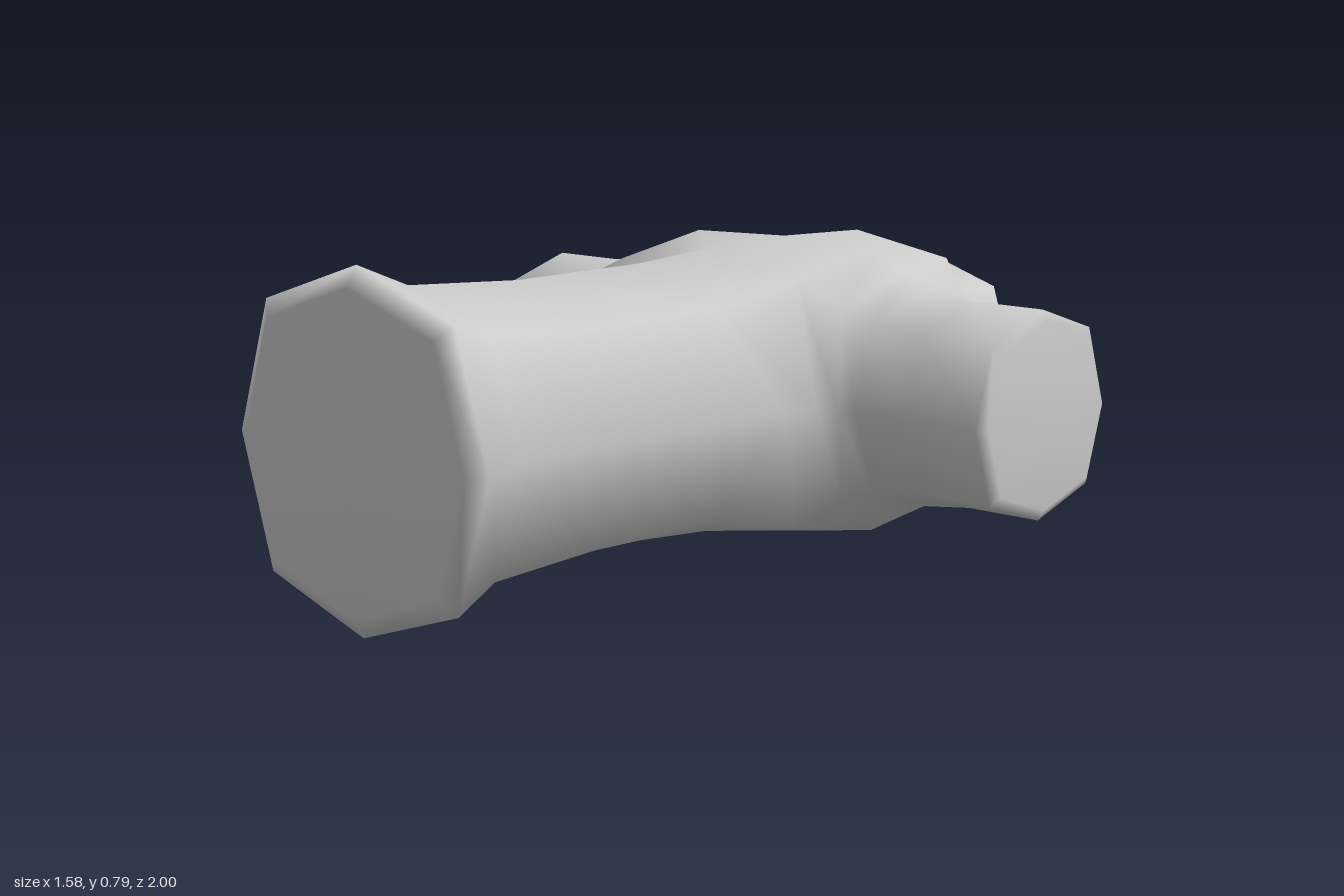
import * as THREE from 'three';
import { mergeVertices } from 'three/addons/utils/BufferGeometryUtils.js';

const MID_Y = 0.4, HUB_Z = -0.375;
const DIAG = 0.755; // diagonal corner offset relative to the radius

// Hub lattice point: i, j, k are -1, 0 or 1 along x, y, z
function hubPoint(i, j, k) {
  if (j === 0) return new THREE.Vector3(i * 0.365, MID_Y, HUB_Z + k * 0.3);
  const rise = [0.345, 0.337, 0.29][Math.abs(i) + Math.abs(k)];
  return new THREE.Vector3(i * 0.28, MID_Y + j * rise, HUB_Z + k * 0.275);
}

// Each ring: [distance from hub centre, radius, side distance, side radius]
const armRings = [[0.37, 0.29, 0.405, 0.272], [0.44, 0.255], [0.57, 0.24], [0.765, 0.24], [0.782, 0.215]];
const branches = [
  { dx: 0, dz: 1, tip: 1.37, rings: [[0.5, 0.323, 0.375, 0.335], [0.88, 0.321], [1.195, 0.34], [1.335, 0.396], [1.362, 0.35]] },
  { dx: 0, dz: -1, tip: 0.625, rings: [[0.38, 0.298], [0.425, 0.252], [0.485, 0.24], [0.598, 0.24], [0.617, 0.21]] },
  { dx: 1, dz: 0, tip: 0.788, rings: armRings },
  { dx: -1, dz: 0, tip: 0.788, rings: armRings },
];

export function createModel() {
  const positions = [];
  const tri = (...points) => points.forEach((p) => positions.push(p.x, p.y, p.z));
  const quad = (a, b, c, d) => { tri(a, b, c); tri(a, c, d); };

  // Hub top and bottom patches
  for (const i of [-1, 0]) for (const k of [-1, 0]) for (const j of [1, -1]) {
    const patch = [hubPoint(i, j, k), hubPoint(i, j, k + 1), hubPoint(i + 1, j, k + 1), hubPoint(i + 1, j, k)];
    if (j < 0) patch.reverse();
    quad(...patch);
  }

  // Octagonal branches growing out of the hub, each closed by a bevelled cap
  for (const { dx, dz, tip, rings } of branches) {
    const place = (u, v, w) => new THREE.Vector3(u * dz + w * dx, MID_Y + v, HUB_Z - u * dx + w * dz);
    const corners = Array.from({ length: 8 }, (_, n) => {
      const a = (n * Math.PI) / 4;
      return [Math.round(Math.cos(a)), Math.round(Math.sin(a))];
    });

    let inner = corners.map(([u, v]) => hubPoint(dx + u * dz, v, dz - u * dx));
    for (const [dist, radius, sideDist = dist, sideRadius = radius] of rings) {
      const outer = corners.map(([u, v]) => {
        if (v === 0) return place(u * sideRadius, 0, sideDist);
        const r = u === 0 ? radius : radius * DIAG;
        return place(u * r, v * r, dist);
      });
      for (let n = 0; n < 8; n++) {
        const m = (n + 1) % 8;
        quad(inner[n], inner[m], outer[m], outer[n]);
      }
      inner = outer;
    }
    const centre = place(0, 0, tip);
    for (let n = 0; n < 8; n++) tri(centre, inner[n], inner[(n + 1) % 8]);
  }

  // Weld everything into one smooth skin
  let geometry = new THREE.BufferGeometry();
  geometry.setAttribute('position', new THREE.Float32BufferAttribute(positions, 3));
  geometry = mergeVertices(geometry, 1e-4);
  geometry.computeVertexNormals();

  const mesh = new THREE.Mesh(geometry, new THREE.MeshStandardMaterial({ color: 0xcccccc }));
  mesh.name = 'crossPipeFitting';
  const group = new THREE.Group();
  group.name = 'pipeFitting';
  group.add(mesh);
  return group;
}
